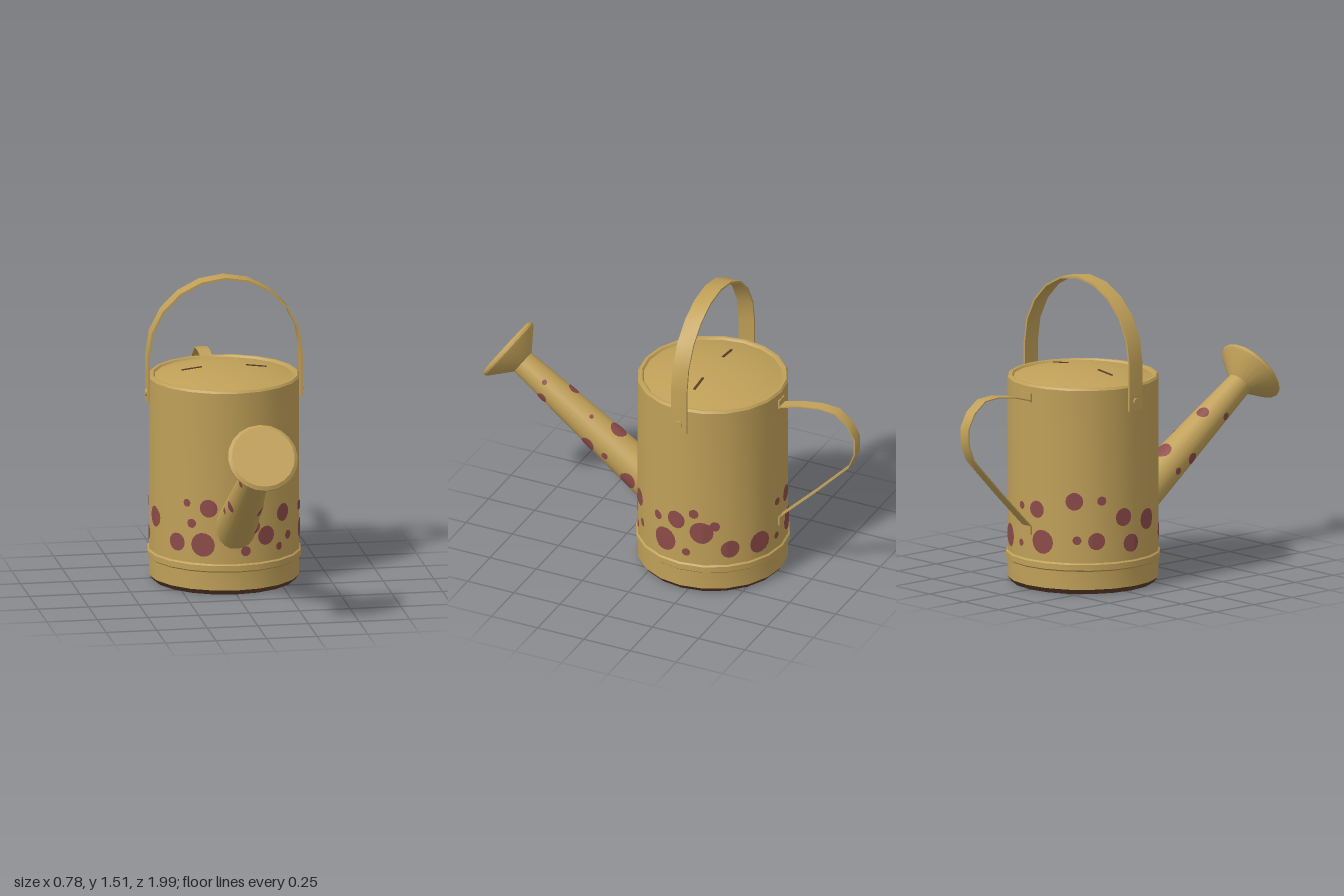
import * as THREE from 'three';
import { toCreasedNormals } from 'three/addons/utils/BufferGeometryUtils.js';

const SIDES = 20;
const CENTRE_Z = -0.215;
const R = 0.37;
const rad = THREE.MathUtils.degToRad;

const brass = new THREE.MeshStandardMaterial({ name: 'brass', color: 0xc0a058 });
const rust = new THREE.MeshStandardMaterial({ name: 'rust spots', color: 0x8c4b49 });
const brown = new THREE.MeshStandardMaterial({ name: 'dark brown', color: 0x5c3c2a });
const black = new THREE.MeshStandardMaterial({ name: 'underside black', color: 0x1e1416 });

function add(parent, name, geometry, material) {
  const mesh = new THREE.Mesh(geometry, material);
  mesh.name = name;
  parent.add(mesh);
  return mesh;
}

function lathe(profile) {
  const pts = profile.map(([r, y]) => new THREE.Vector2(r, y));
  return toCreasedNormals(new THREE.LatheGeometry(pts, SIDES), 0.6);
}

// Flat strap that follows a 2D path
function strap(path, width, thickness) {
  const pts = path.map(([x, y]) => new THREE.Vector2(x, y));
  const side = (s) => pts.map((p, i) => {
    const a = pts[Math.max(i - 1, 0)], b = pts[Math.min(i + 1, pts.length - 1)];
    const d = b.clone().sub(a).normalize();
    return new THREE.Vector2(p.x - d.y * s, p.y + d.x * s);
  });
  const shape = new THREE.Shape([...side(thickness / 2), ...side(-thickness / 2).reverse()]);
  const geo = new THREE.ExtrudeGeometry(shape, { depth: width, bevelEnabled: false });
  geo.translate(0, 0, -width / 2);
  return toCreasedNormals(geo, 0.6);
}

// Round spot wrapped on a faceted tube whose radius depends on height
function spot(radiusAt, degrees, height, size) {
  const geo = new THREE.RingGeometry(0, size, 14, 5);
  const pos = geo.attributes.position;
  const step = (Math.PI * 2) / SIDES;
  for (let i = 0; i < pos.count; i++) {
    const y = height + pos.getY(i);
    const r = radiusAt(y);
    const a = rad(degrees) + pos.getX(i) / r;
    const local = a - (Math.floor(a / step) + 0.5) * step;
    const flat = (r * Math.cos(step / 2)) / Math.cos(local) + 0.003;
    pos.setXYZ(i, Math.sin(a) * flat, y, Math.cos(a) * flat);
  }
  geo.computeVertexNormals();
  return geo;
}

function makeCan() {
  const can = new THREE.Group();
  can.name = 'can';
  can.position.z = CENTRE_Z;

  // Wall with raised band, rolled rim and shallow domed lid
  add(can, 'body', lathe([
    [R, 0.025], [R, 0.115], [0.378, 0.122], [0.378, 0.15], [R, 0.157],
    [R, 1.015], [0.362, 1.026], [0.348, 1.026], [0.34, 1.016],
  ]), brass);
  add(can, 'lid', lathe([
    [0.34, 1.016], [0.3, 1.027], [0.21, 1.048], [0.11, 1.06], [0, 1.063],
  ]), brass);
  add(can, 'baseEdge', lathe([[0.35, 0], [R, 0.025]]), brown);
  const under = add(can, 'underside', new THREE.CircleGeometry(0.35, SIDES), black);
  under.rotation.x = Math.PI / 2;

  // Arched carrying handle with slots and rivets on both sides
  const arch = [[0.378, 0.9]];
  for (let i = 0; i <= 10; i++) {
    const a = (i / 10) * Math.PI;
    arch.push([Math.cos(a) * 0.378, 1.13 + Math.sin(a) * 0.38]);
  }
  arch.push([-0.378, 0.9]);
  add(can, 'topHandle', strap(arch, 0.085, 0.01), brass);
  for (const s of [-1, 1]) {
    const rivet = add(can, 'rivet', new THREE.CylinderGeometry(0.018, 0.02, 0.012, 10), brass);
    rivet.position.set(s * 0.384, 0.945, 0);
    rivet.rotation.z = -s * Math.PI / 2;
    const slot = add(can, 'lidSlot', new THREE.BoxGeometry(0.1, 0.005, 0.012), brown);
    slot.position.set(s * 0.16, 1.055, 0);
    slot.rotation.z = -s * 0.12;
  }

  // Rust spots: angle from the front, height, radius
  const spots = [
    [-21.6, 0.436, 0.045], [-39, 0.456, 0.02], [-35, 0.356, 0.023], [-48, 0.252, 0.045],
    [-26, 0.252, 0.06], [-75, 0.345, 0.052], [41, 0.386, 0.045], [17, 0.468, 0.026],
    [24, 0.288, 0.048], [47.5, 0.265, 0.022], [36.5, 0.222, 0.02], [7, 0.22, 0.025],
    [13, 0.34, 0.035], [76.5, 0.263, 0.063], [107, 0.338, 0.06], [86.6, 0.391, 0.048],
    [101, 0.44, 0.025], [69.6, 0.38, 0.025], [117, 0.375, 0.027], [95, 0.22, 0.021],
    [129, 0.245, 0.048], [154, 0.245, 0.058], [195, 0.253, 0.06], [190, 0.411, 0.043],
    [221, 0.464, 0.044], [260, 0.376, 0.045], [238, 0.265, 0.043], [223, 0.27, 0.022],
    [267, 0.243, 0.045], [242, 0.465, 0.023], [174, 0.417, 0.02], [173, 0.23, 0.018],
  ];
  for (const s of spots) add(can, 'bodySpot', spot(() => R, ...s), rust);
  return can;
}

function makeSpout() {
  const spout = new THREE.Group();
  spout.name = 'spout';
  spout.position.set(0, 0.355, 0.145);
  spout.rotation.x = rad(54.9);
  const radiusAt = (t) => 0.101 - 0.047 * t;

  add(spout, 'spoutTube', lathe([[radiusAt(-0.1), -0.1], [radiusAt(0.84), 0.84]]), brass);

  // Flared rose at the tip
  add(spout, 'rose', lathe([
    [0.06, 0.815], [0.165, 0.898], [0.172, 0.908], [0.172, 0.918], [0.155, 0.931], [0, 0.931],
  ]), brass);

  // Angle from the lower side, distance along the tube, radius
  const spots = [
    [63, 0.632, 0.028], [60, 0.315, 0.04], [73, 0.05, 0.045], [81, 0.213, 0.018],
    [128, 0.672, 0.013], [186, 0.25, 0.046], [200, 0.545, 0.031], [150, 0.39, 0.011],
    [285, 0.62, 0.02], [290, 0.33, 0.03], [275, 0.22, 0.018],
  ];
  for (const s of spots) add(spout, 'spoutSpot', spot(radiusAt, ...s), rust);
  return spout;
}

function makeBackHandle() {
  const handle = new THREE.Group();
  handle.name = 'backHandle';
  handle.rotation.y = Math.PI / 2;
  // Path as distance behind the centre, height
  add(handle, 'backStrap', strap([
    [0.582, 0.945], [0.69, 0.976], [0.8, 0.991], [0.885, 0.985], [0.955, 0.933],
    [0.994, 0.863], [0.994, 0.783], [0.96, 0.7], [0.88, 0.617], [0.77, 0.504], [0.582, 0.32],
  ], 0.06, 0.006), brass);
  for (const y of [0.96, 0.3]) {
    const tab = add(handle, 'handleTab', new THREE.BoxGeometry(0.012, 0.045, 0.06), brass);
    tab.position.set(0.583, y, 0);
  }
  return handle;
}

export function createModel() {
  const model = new THREE.Group();
  model.name = 'wateringCan';
  model.add(makeCan(), makeSpout(), makeBackHandle());
  return model;
}
